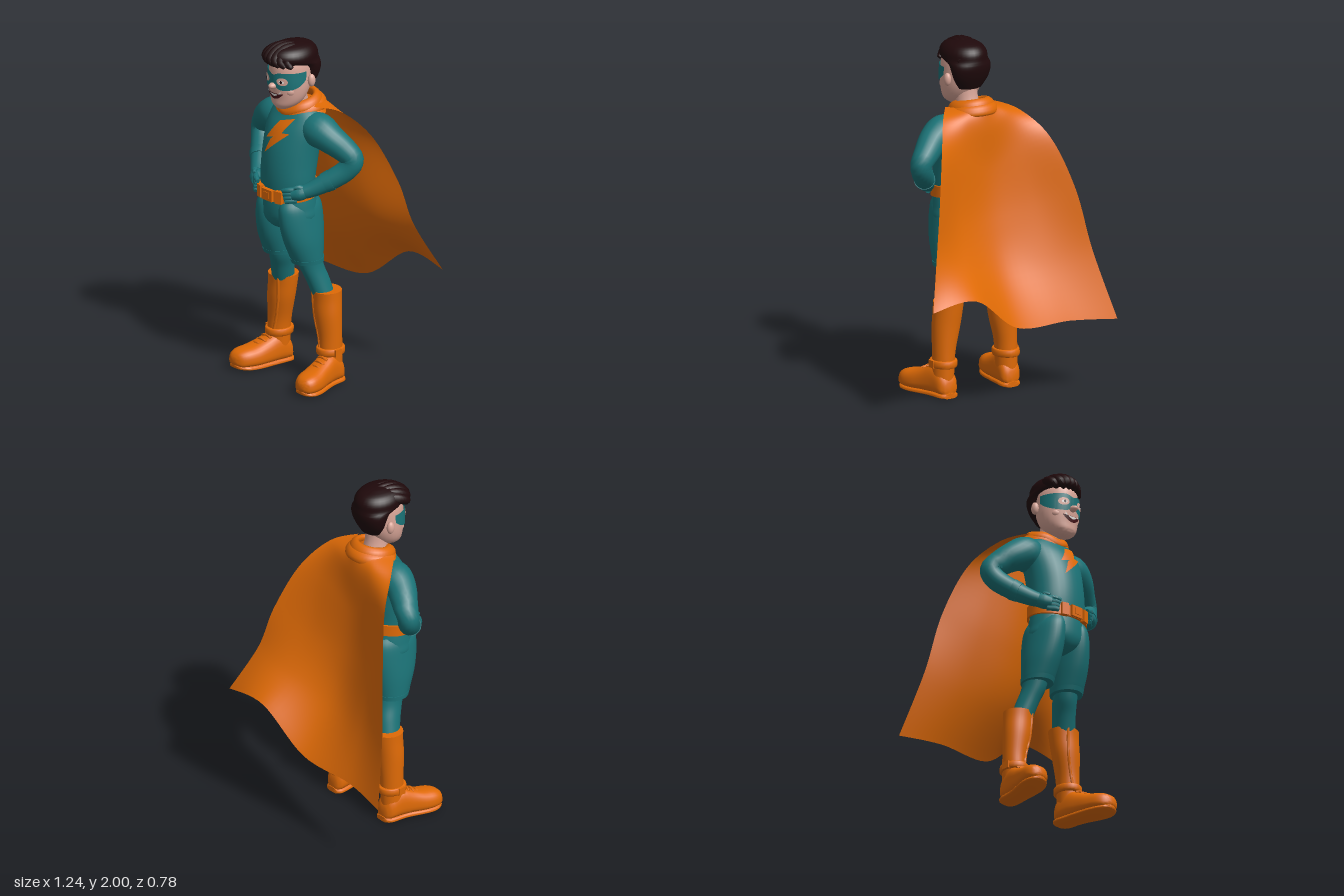
import * as THREE from 'three';
import { toCreasedNormals } from 'three/addons/utils/BufferGeometryUtils.js';

const mat = (name, color) => {
  const m = new THREE.MeshStandardMaterial({ color, side: THREE.DoubleSide });
  m.name = name;
  return m;
};

// Smooth interpolation through rows of numbers
function spline(rows, t) {
  const n = rows.length - 1, f = Math.min(Math.max(t, 0), 1) * n;
  const i = Math.min(Math.floor(f), n - 1), k = f - i;
  const at = j => rows[Math.min(Math.max(j, 0), n)];
  return rows[i].map((b, c) => {
    const a = at(i - 1)[c], d = at(i + 1)[c], e = at(i + 2)[c];
    return b + 0.5 * k * (d - a + k * (2 * a - 5 * b + 4 * d - e + k * (3 * (b - d) + e - a)));
  });
}

// Surface from a rule: u and v run 0..1
function grid(fn, nu, nv) {
  const pos = [], idx = [];
  for (let j = 0; j <= nv; j++) for (let i = 0; i <= nu; i++) pos.push(...fn(i / nu, j / nv));
  for (let j = 0; j < nv; j++) for (let i = 0; i < nu; i++) {
    const a = j * (nu + 1) + i, b = a + 1, c = a + nu + 1, d = c + 1;
    idx.push(a, b, d, a, d, c);
  }
  const g = new THREE.BufferGeometry();
  g.setAttribute('position', new THREE.Float32BufferAttribute(pos, 3));
  g.setIndex(idx);
  return toCreasedNormals(g, 0.9);
}

// Rows are [y, x, rx, z, rz], listed upwards; both ends are capped
const ring = ([y, x, rx, z, rz], a, off = 0) =>
  [x + (rx + off) * Math.sin(a), y, z + (rz + off) * Math.cos(a)];
const capped = (v, n) => [(v * n - 1) / (n - 2), v === 0 || v === 1 ? 0 : 1];
const loft = (rows, nu = 32, nv = 26) => grid((u, v) => {
  const [t, k] = capped(v, nv), [y, x, rx, z, rz] = spline(rows, t);
  return ring([y, x, rx * k, z, rz * k], u * Math.PI * 2);
}, nu, nv);
function rowAt(rows, y) {
  let lo = 0, hi = 1;
  for (let i = 0; i < 25; i++) {
    const m = (lo + hi) / 2;
    if (spline(rows, m)[0] < y) lo = m; else hi = m;
  }
  return spline(rows, lo);
}

// Round limb; points are [x, y, z, radius]
const limb = (pts, nu = 14, nv = 18) => grid((u, v) => {
  const [t, k] = capped(v, nv), [x, y, z, r] = spline(pts, t);
  const p = spline(pts, Math.max(t - 0.01, 0)), q = spline(pts, Math.min(t + 0.01, 1));
  const T = new THREE.Vector3(q[0] - p[0], q[1] - p[1], q[2] - p[2]).normalize();
  const N = new THREE.Vector3(1, 1, 1).cross(T).normalize(), B = T.clone().cross(N);
  const a = u * Math.PI * 2;
  return new THREE.Vector3(x, y, z).addScaledVector(N, k * r * Math.cos(a))
    .addScaledVector(B, k * r * Math.sin(a)).toArray();
}, nu, nv);

const HX = 0.008; // head centre
const HEAD = [[1.625, HX, 0.04, 0.272, 0.038], [1.65, HX, 0.078, 0.252, 0.076], [1.69, HX, 0.104, 0.235, 0.096],
  [1.75, HX, 0.116, 0.222, 0.116], [1.82, HX, 0.115, 0.215, 0.126], [1.89, HX, 0.108, 0.21, 0.125], [1.95, HX, 0.08, 0.21, 0.09]];
const TORSO = [[1.1, 0, 0.163, 0.225, 0.135], [1.2, 0, 0.168, 0.228, 0.138], [1.3, 0, 0.168, 0.215, 0.146], [1.4, 0, 0.172, 0.197, 0.146],
  [1.5, 0, 0.182, 0.167, 0.14], [1.57, 0, 0.172, 0.15, 0.112], [1.625, 0, 0.1, 0.15, 0.08]];
const CAPE = [
  [-0.14, 1.63, 0.17, -0.09, 1.64, 0.05, 0, 1.63, 0, 0.09, 1.64, 0.05, 0.16, 1.635, 0.17],
  [-0.25, 1.585, 0.045, -0.14, 1.58, 0, 0, 1.53, -0.015, 0.14, 1.58, 0, 0.26, 1.595, 0.045],
  [-0.36, 1.44, -0.1, -0.19, 1.39, -0.045, 0, 1.3, -0.025, 0.2, 1.39, -0.045, 0.36, 1.44, -0.09],
  [-0.46, 1.15, -0.2, -0.25, 1.08, -0.11, 0, 1.02, -0.07, 0.25, 1.06, -0.11, 0.45, 1.17, -0.2],
  [-0.53, 0.8, -0.265, -0.28, 0.76, -0.2, 0, 0.75, -0.16, 0.29, 0.83, -0.22, 0.51, 0.92, -0.26],
  [-0.62, 0.42, -0.375, -0.33, 0.445, -0.333, 0.03, 0.465, -0.35, 0.33, 0.675, -0.385, 0.615, 0.65, -0.38]];

export function createModel() {
  const model = new THREE.Group(), body = new THREE.Group();
  body.name = 'body';
  body.position.x = 0.012;
  model.add(body);
  const orange = mat('orange', 0xdf6a06), teal = mat('teal', 0x1b7377), skin = mat('skin', 0xd9a698);
  const hair = mat('dark brown', 0x1f090b), white = mat('white', 0xf2eeea), dark = mat('mouth dark', 0x451519);
  const add = (name, geo, material, p = [0, 0, 0], s = [1, 1, 1]) => {
    const m = new THREE.Mesh(geo, material);
    m.name = name;
    m.position.set(...p);
    m.scale.set(...s);
    body.add(m);
    return m;
  };
  const ball = (name, m, p, s) => add(name, new THREE.SphereGeometry(1, 20, 14), m, p, s);

  // Head, neck and ears
  add('head', loft(HEAD), skin);
  add('neck', limb([[0, 1.56, 0.15, 0.075], [0.004, 1.66, 0.175, 0.066], [HX, 1.75, 0.19, 0.07]]), skin);
  ball('nose', skin, [HX, 1.77, 0.346], [0.022, 0.018, 0.032]);
  for (const s of [-1, 1]) {
    ball('ear', skin, [HX + s * 0.124, 1.79, 0.172], [0.02, 0.037, 0.023]);
    ball('cheek', skin, [HX + s * 0.064, 1.738, 0.276], [0.036, 0.032, 0.036]);
  }

  // Face details lie on the head as thin curved patches
  const face = (a, y, off) => ring(rowAt(HEAD, y), a, off);
  const disc = (a, y, ra, ry, off) => grid((u, v) => {
    const w = u * Math.PI * 2, r = 1 - v;
    return face(a + ra * r * Math.cos(w), y + ry * r * Math.sin(w), off);
  }, 20, 4);
  add('mask', grid((u, v) => {
    const k = u * 2 - 1, bridge = Math.exp(-((k / 0.14) ** 2));
    const low = 1.75 + 0.055 * k ** 4 + 0.025 * bridge, high = 1.852 - 0.015 * bridge;
    return face(k * 1.6, low + (high - low) * v, 0.008);
  }, 48, 8), teal);
  for (const s of [-1, 1]) {
    add('eyeOpening', disc(s * 0.49, 1.803, 0.26, 0.023, 0.011), skin);
    add('eyeWhite', disc(s * 0.46, 1.802, 0.13, 0.009, 0.013), white);
    add('iris', disc(s * 0.45, 1.802, 0.05, 0.009, 0.015), hair);
  }
  const smile = (w, a, b, off) => grid((u, v) => {
    const k = u * 2 - 1, low = a + 0.035 * k * k, high = b + 0.004 * k * k;
    return face(k * w, low + (high - low) * v, off);
  }, 16, 4);
  add('mouth', smile(0.52, 1.69, 1.725, 0.007), dark);
  add('teeth', smile(0.4, 1.708, 1.722, 0.01), white);

  // Hair: cap and swept-up locks
  add('hairCap', loft([[1.735, HX, 0.07, 0.135, 0.045], [1.79, HX, 0.105, 0.125, 0.063], [1.84, HX, 0.12, 0.125, 0.08],
    [1.875, HX, 0.123, 0.14, 0.098], [1.9, HX, 0.124, 0.19, 0.145], [1.94, HX, 0.119, 0.2, 0.15],
    [1.975, HX, 0.09, 0.2, 0.118], [1.993, HX, 0.035, 0.2, 0.05]]), hair);
  for (let i = 0; i < 7; i++) {
    const k = i / 3 - 1, x = k * 0.085, d = k * k * 0.03;
    add('hairLock', limb([[x + 0.02, 1.89 - 0.006 * k, 0.342 - d * 1.6, 0.012], [x - 0.012, 1.922 - d * 0.4, 0.35 - d * 1.6, 0.026],
      [x - 0.008, 1.965 - d, 0.285 - d, 0.03], [x * 0.9 + 0.01, 1.968 - d, 0.2, 0.028], [x * 0.75 + 0.025, 1.93 - d, 0.1, 0.02]], 10), hair);
  }

  // Torso and lightning emblem
  add('torso', loft(TORSO), teal);
  const emblem = q => grid((u, v) => {
    const p = [0, 1].map(c => (q[0][c] * (1 - u) + q[1][c] * u) * (1 - v) + (q[3][c] * (1 - u) + q[2][c] * u) * v);
    const [, , rx, z, rz] = rowAt(TORSO, p[1]);
    return [p[0], p[1], z + rz * Math.sqrt(1 - (p[0] / rx) ** 2) + 0.008];
  }, 8, 8);
  add('emblemTop', emblem([[-0.066, 1.44], [0.035, 1.472], [0.09, 1.57], [0, 1.545]]), orange);
  add('emblemBottom', emblem([[-0.058, 1.355], [0.092, 1.49], [0.03, 1.487], [-0.022, 1.445]]), orange);

  // Belt with buckle and pouches
  add('belt', grid((u, v) => {
    const a = u * Math.PI * 2, w = [0, 1, 1, 0][Math.round(v * 3)], h = v > 0.5 ? 0.032 : -0.032;
    const [x, y, z] = ring([1.14 + h, 0, 0.168, 0.226, 0.139], a, w * 0.012);
    return [x, y - 0.015 * Math.cos(a), z];
  }, 40, 3), orange);
  add('buckle', new THREE.BoxGeometry(0.08, 0.065, 0.024), orange, [0, 1.127, 0.377]);
  add('buckleCentre', new THREE.BoxGeometry(0.04, 0.035, 0.01), orange, [0, 1.127, 0.388]);
  for (const s of [-1, 1]) {
    add('beltPouch', new THREE.BoxGeometry(0.042, 0.072, 0.03), orange, [s * 0.075, 1.127, 0.362]).rotation.y = s * 0.28;
  }

  // Shorts
  add('hips', loft([[0.905, 0, 0.03, 0.205, 0.07], [0.93, 0, 0.1, 0.215, 0.115], [0.98, 0, 0.176, 0.218, 0.142],
    [1.05, 0, 0.174, 0.222, 0.144], [1.13, 0, 0.162, 0.226, 0.134]]), teal);

  for (const s of [-1, 1]) {
    const side = (rows, c) => rows.map(r => r.map((n, i) => (i === c ? s * n : n)));
    // Legs
    add('shortsLeg', loft(side([[0.72, 0.113, 0.085, 0.185, 0.092], [0.76, 0.111, 0.088, 0.193, 0.104], [0.85, 0.105, 0.092, 0.207, 0.128],
      [0.95, 0.096, 0.09, 0.215, 0.145], [1.04, 0.088, 0.084, 0.22, 0.144], [1.09, 0.08, 0.07, 0.223, 0.125]], 1)), teal);
    add('shortsHem', loft(side([[0.717, 0.113, 0.088, 0.185, 0.095], [0.742, 0.112, 0.09, 0.189, 0.101]], 1), 28, 4), teal);
    add('leg', loft(side([[0.48, 0.172, 0.062, 0.105, 0.062], [0.6, 0.143, 0.06, 0.135, 0.07], [0.68, 0.122, 0.063, 0.162, 0.073],
      [0.76, 0.113, 0.068, 0.18, 0.075]], 1)), teal);

    // Boots
    add('bootShaft', loft(side([[0.08, 0.212, 0.06, 0.1, 0.065], [0.2, 0.209, 0.062, 0.1, 0.067], [0.28, 0.204, 0.067, 0.1, 0.068],
      [0.4, 0.189, 0.081, 0.103, 0.076], [0.49, 0.179, 0.085, 0.1, 0.08], [0.542, 0.175, 0.087, 0.1, 0.084]], 1)), orange);
    add('bootSeam', limb(side([[0.14, 0.54, 0.172, 0.009], [0.148, 0.4, 0.165, 0.009], [0.173, 0.28, 0.157, 0.009], [0.186, 0.21, 0.16, 0.009]], 0), 8), orange);
    add('ankleStrap', loft(side([[0.172, 0.209, 0.068, 0.1, 0.078], [0.178, 0.209, 0.074, 0.1, 0.084],
      [0.208, 0.208, 0.074, 0.1, 0.084], [0.214, 0.208, 0.068, 0.1, 0.078]], 1), 28, 8), orange);
    add('strapBuckle', new THREE.BoxGeometry(0.012, 0.042, 0.045), orange, [s * 0.281, 0.193, 0.11]);
    // Rows are [z, x, half width, top, bottom]
    const shoe = rows => grid((u, v) => {
      const [t, k] = capped(v, 24), [z, x, w, top, low] = spline(rows, t);
      const a = u * Math.PI * 2, c = Math.cos(a), n = Math.sin(a), mid = low + (top - low) * 0.35;
      return [s * x + k * w * Math.sign(c) * Math.abs(c) ** 0.7, mid + k * (n > 0 ? top - mid : mid - low) * Math.sign(n) * Math.abs(n) ** 0.8, z];
    }, 28, 24);
    add('foot', shoe([[0.03, 0.208, 0.035, 0.09, 0.02], [0.055, 0.21, 0.06, 0.14, 0.015], [0.12, 0.217, 0.066, 0.185, 0.015],
      [0.2, 0.233, 0.072, 0.155, 0.015], [0.27, 0.25, 0.079, 0.13, 0.015], [0.33, 0.263, 0.075, 0.12, 0.018],
      [0.37, 0.269, 0.055, 0.104, 0.022], [0.388, 0.271, 0.024, 0.08, 0.04]]), orange);
    add('sole', shoe([[0.026, 0.208, 0.04, 0.03, 0], [0.055, 0.21, 0.062, 0.032, 0], [0.15, 0.222, 0.065, 0.034, 0],
      [0.27, 0.25, 0.079, 0.034, 0], [0.33, 0.263, 0.073, 0.034, 0.003], [0.37, 0.269, 0.05, 0.036, 0.01], [0.386, 0.271, 0.02, 0.038, 0.02]]), orange);
    for (let i = 0; i < 3; i++) {
      const x = s * (0.228 + i * 0.007), y = 0.172 - i * 0.016, z = 0.177 + i * 0.03;
      add('lace', limb([[x - 0.035, y - 0.012, z, 0.007], [x, y, z + 0.004, 0.008], [x + 0.035, y - 0.012, z, 0.007]], 8, 8), orange);
    }

    // Arms bent with hands on the hips
    add('arm', limb(side([[0.12, 1.495, 0.15, 0.095], [0.18, 1.497, 0.152, 0.098], [0.25, 1.465, 0.137, 0.084], [0.32, 1.412, 0.1, 0.072],
      [0.368, 1.36, 0.08, 0.062], [0.345, 1.3, 0.105, 0.06], [0.285, 1.24, 0.17, 0.056], [0.225, 1.192, 0.24, 0.046],
      [0.19, 1.172, 0.28, 0.04]], 0), 20, 36), teal);
    add('gloveCuff', limb(side([[0.288, 1.242, 0.168, 0.06], [0.262, 1.222, 0.197, 0.056]], 0), 18, 4), teal);
    add('palm', limb(side([[0.2, 1.175, 0.27, 0.036], [0.17, 1.162, 0.302, 0.042], [0.14, 1.155, 0.332, 0.03]], 0)), teal);
    for (let i = 0; i < 4; i++) {
      const y = 1.185 - i * 0.021;
      add('finger', limb(side([[0.165, y, 0.315, 0.016], [0.13, y - 0.004, 0.348, 0.016], [0.1 + i * 0.006, y - 0.012, 0.362, 0.012]], 0), 8, 8), teal);
    }
    add('thumb', limb(side([[0.195, 1.185, 0.28, 0.018], [0.18, 1.203, 0.31, 0.015], [0.16, 1.197, 0.335, 0.01]], 0), 8, 8), teal);
  }

  // Cape with its rolled collar, dipping to a point at the throat
  model.add(add('cape', grid((u, v) => {
    const r = spline(CAPE, v);
    return spline([0, 3, 6, 9, 12].map(i => r.slice(i, i + 3)), u);
  }, 32, 40), orange));
  add('collarBase', loft([[1.575, -0.005, 0.165, 0.13, 0.122], [1.605, -0.005, 0.14, 0.13, 0.115], [1.63, 0, 0.1, 0.14, 0.09]]), orange);
  const roll = (rx, rz, y, z, r, dip) => grid((u, v) => {
    const a = u * Math.PI * 2, b = v * Math.PI * 2, f = Math.cos(a), o = r * Math.cos(b);
    const throat = 0.022 * Math.max(f, 0) ** 8;
    return [(rx + o) * Math.sin(a) - 0.004, y - dip * f - throat + r * Math.sin(b) - o * 0.6, z + (rz + o) * f];
  }, 40, 12);
  add('collarRoll', roll(0.105, 0.1, 1.636, 0.137, 0.027, 0.02), orange);
  add('hoodFold', roll(0.12, 0.112, 1.614, 0.124, 0.027, 0.016), orange);
  return model;
}
